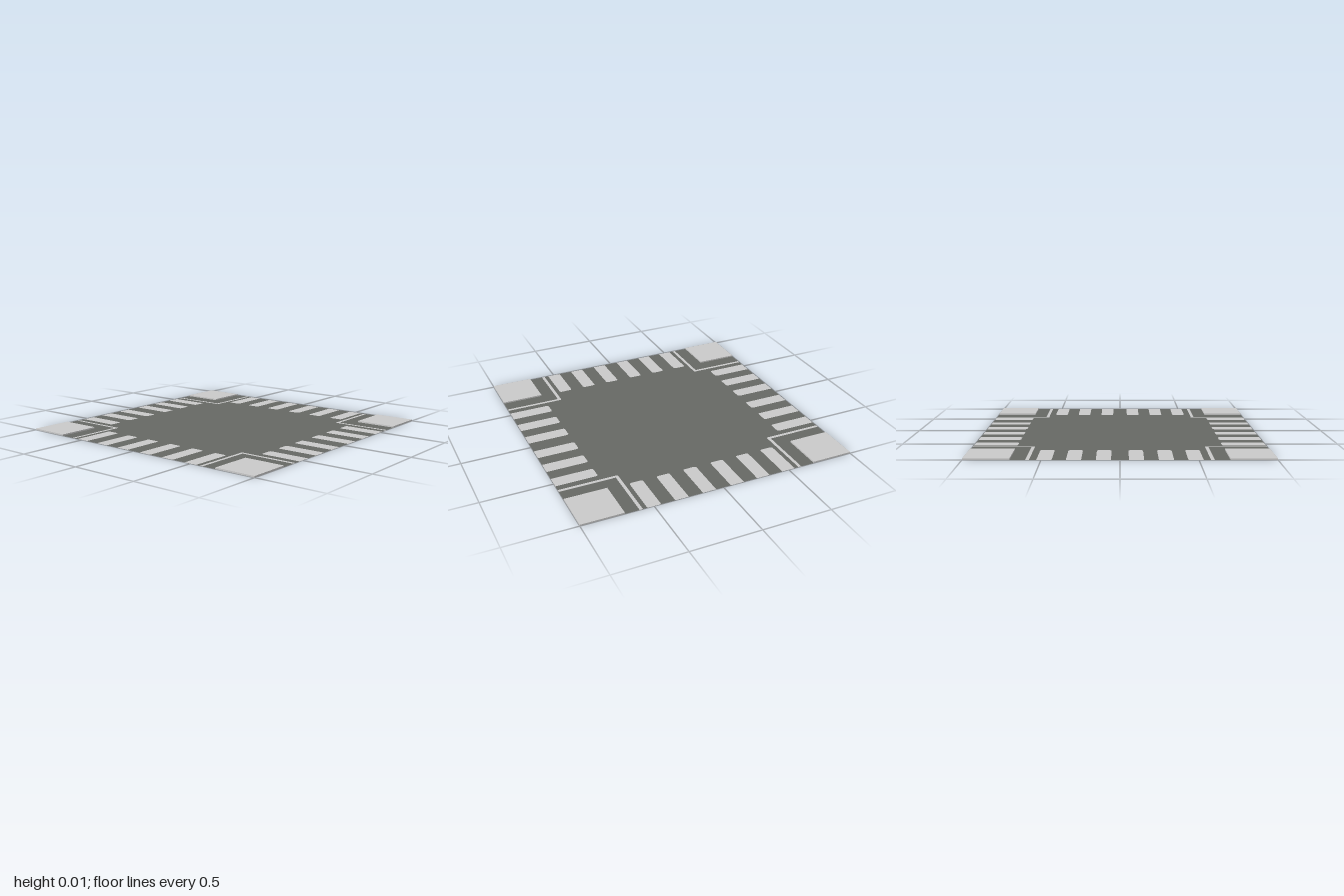
import * as THREE from 'three';

const asphalt = new THREE.MeshStandardMaterial({ name: 'asphalt grey', color: 0x666864, side: THREE.DoubleSide });
const pale = new THREE.MeshStandardMaterial({ name: 'pale grey', color: 0xc9c9c9, side: THREE.DoubleSide });

const EDGE = 0.9995; // outer end of the painted marks
const KERB = 0.7; // inner edge of pavements and crossing bars
const LINE = [0.577, 0.6]; // inner and outer edge of the lane lines
const HEIGHT = 0.01; // pavement height

const toShape = (points) => new THREE.Shape(points.map(([x, y]) => new THREE.Vector2(x, y)));

// Turns a shape drawn on the ground plan into a flat, upward-facing mesh
function flat(name, shape, material) {
  const mesh = new THREE.Mesh(new THREE.ShapeGeometry(shape, 3).rotateX(-Math.PI / 2), material);
  mesh.name = name;
  return mesh;
}

// Crossing bar running inward from one side, with softened inner corners
function barShape(turn, centre, width) {
  const w = width / 2, r = 0.013, c = r * 0.3;
  const points = [
    [centre - w, EDGE], [centre - w, KERB + r], [centre - w + c, KERB + c], [centre - w + r, KERB],
    [centre + w - r, KERB], [centre + w - c, KERB + c], [centre + w, KERB + r], [centre + w, EDGE],
  ];
  return toShape(points.map(([x, y]) => turn(x, y)));
}

// L-shaped lane line around one corner
function cornerLine(sx, sy) {
  const [a, b] = LINE, c = 0.006;
  return toShape([
    [a, EDGE], [a, a + c], [a + c, a], [EDGE, a], [EDGE, b], [b, b], [b, EDGE],
  ].map(([x, y]) => [x * sx, y * sy]));
}

export function createModel() {
  const model = new THREE.Group();
  model.name = 'crossroads';

  // Marks are inlaid: each shape is also a hole in the road
  const marks = [];
  const sides = [
    { turn: (x, y) => [x, y], centres: [0.105, 0.295, 0.482], width: 0.097 },
    { turn: (x, y) => [x, -y], centres: [0.105, 0.295, 0.482], width: 0.097 },
    { turn: (x, y) => [y, x], centres: [0.103, 0.302, 0.498], width: 0.097 },
    { turn: (x, y) => [-y, x], centres: [0.103, 0.302, 0.498], width: 0.097 },
  ];
  for (const { turn, centres, width } of sides)
    for (const c of centres)
      for (const s of [-1, 1]) marks.push(['crossingBar', barShape(turn, c * s, width)]);

  for (const sx of [-1, 1]) {
    for (const sy of [-1, 1]) {
      marks.push(['laneLine', cornerLine(sx, sy)]);

      // Raised corner pavement
      const size = 1 - KERB, mid = (1 + KERB) / 2;
      const pavement = new THREE.Mesh(new THREE.BoxGeometry(size, HEIGHT, size), pale);
      pavement.name = 'pavement';
      pavement.position.set(sx * mid, HEIGHT / 2, sy * mid);
      model.add(pavement);
    }
  }

  // Cross-shaped road surface
  const k = KERB;
  const road = toShape([
    [-k, -1], [k, -1], [k, -k], [1, -k], [1, k], [k, k],
    [k, 1], [-k, 1], [-k, k], [-1, k], [-1, -k], [-k, -k],
  ]);
  for (const [name, shape] of marks) {
    road.holes.push(new THREE.Path(shape.getPoints()));
    model.add(flat(name, shape, pale));
  }
  model.add(flat('road', road, asphalt));
  return model;
}
